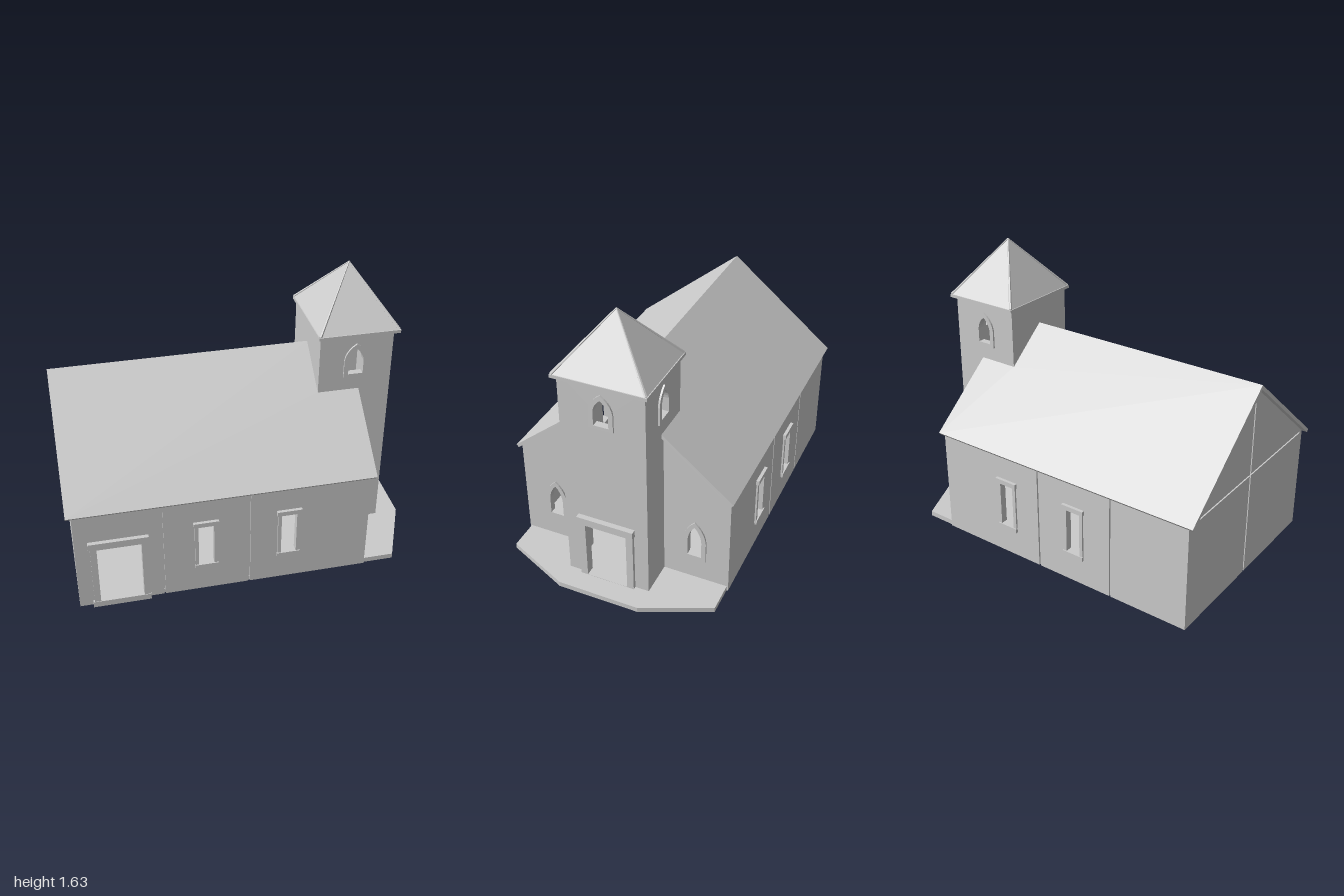
import * as THREE from 'three';

const T = 0.03; // wall thickness
const HALF = 0.62, EAVE = 0.635, RIDGE = 1.165;
const material = new THREE.MeshStandardMaterial({ color: 0xcccccc, flatShading: true });

const polygon = (pts) => new THREE.Shape(pts.map(([x, y]) => new THREE.Vector2(x, y)));
const rect = (x0, x1, y0, y1) => polygon([[x0, y0], [x1, y0], [x1, y1], [x0, y1]]);

// Pointed arch outline: straight jambs, then two curves meeting at the tip
function arch(cx, half, y0, y1) {
  const spring = y0 + (y1 - y0) * 0.52, bend = spring + (y1 - spring) * 0.6;
  const s = new THREE.Shape();
  s.moveTo(cx - half, y0);
  s.lineTo(cx + half, y0);
  s.lineTo(cx + half, spring);
  s.quadraticCurveTo(cx + half * 0.9, bend, cx, y1);
  s.quadraticCurveTo(cx - half * 0.9, bend, cx - half, spring);
  s.closePath();
  return s;
}

function add(parent, name, geometry) {
  const mesh = new THREE.Mesh(geometry, material);
  mesh.name = name;
  parent.add(mesh);
  return mesh;
}

function box(parent, name, x0, x1, y0, y1, z0, z1) {
  const mesh = add(parent, name, new THREE.BoxGeometry(x1 - x0, y1 - y0, z1 - z0));
  mesh.position.set((x0 + x1) / 2, (y0 + y1) / 2, (z0 + z1) / 2);
  return mesh;
}

// Extruded panel with holes; wall planes face z, or x when alongX is set.
// For alongX the shape's horizontal axis runs toward -z.
function panel(parent, name, shape, holes, from, depth, alongX = false) {
  shape.holes.push(...holes);
  const g = new THREE.ExtrudeGeometry(shape, { depth, bevelEnabled: false, curveSegments: 5 });
  g.translate(0, 0, from);
  if (alongX) g.rotateY(Math.PI / 2);
  return add(parent, name, g);
}

// Start coordinate of a layer lying on the outside of a wall
const outside = (face, side, depth) => (side > 0 ? face : -face - depth);

function createNave(root) {
  const nave = new THREE.Group();
  nave.name = 'nave';
  root.add(nave);
  const windows = [-0.263, 0.2];
  const bays = [[-0.97, -0.505], [-0.495, -0.025], [-0.015, 0.66]];

  for (const side of [1, -1]) {
    const inner = side > 0 ? HALF - T : -HALF;
    // Side wall bays with their openings
    bays.forEach(([x0, x1], i) => {
      const holes = [];
      if (i > 0) {
        const c = windows[i - 1];
        holes.push(rect(c - 0.043, c + 0.043, 0.195, 0.46));
      } else if (side > 0) holes.push(rect(-0.855, -0.615, 0.04, 0.41));
      panel(nave, 'sideWall', rect(x0, x1, 0.01, EAVE), holes, inner, T);
    });
    // Recessed strips behind the wall joints
    for (const x of [-0.5, -0.02]) {
      const z = side * (HALF - 0.02);
      box(nave, 'wallJoint', x - 0.01, x + 0.01, 0.01, EAVE, z - 0.01, z + 0.01);
    }
    // Rectangular window surrounds
    for (const c of windows) {
      const d = 0.01, dl = 0.018;
      panel(nave, 'windowFrame', rect(c - 0.063, c + 0.063, 0.175, 0.465),
        [rect(c - 0.043, c + 0.043, 0.195, 0.46)], outside(HALF, side, d), d);
      const z = outside(HALF, side, dl);
      box(nave, 'windowLintel', c - 0.07, c + 0.07, 0.46, 0.487, z, z + dl);
      box(nave, 'windowSill', c - 0.065, c + 0.065, 0.17, 0.195, z + 0.002, z + dl - 0.002);
    }
    // Front wall beside the tower, with a pointed window
    const m = (pts) => pts.map(([z, y]) => [z * side, y]);
    panel(nave, 'frontWall',
      polygon(m([[0.23, 0.04], [0.59, 0.04], [0.59, EAVE], [HALF, EAVE], [0.23, 0.952]])),
      [arch(side * 0.422, 0.04, 0.2, 0.4)], 0.66 - T, T, true);
    panel(nave, 'pointedWindowFrame', arch(side * 0.422, 0.066, 0.17, 0.432),
      [arch(side * 0.422, 0.04, 0.2, 0.4)], 0.66, 0.01, true);
    // Rear wall: lower panel and gable panel
    panel(nave, 'rearWall', polygon(m([[0.006, 0.01], [0.59, 0.01], [0.59, 0.625], [0.006, 0.625]])),
      [], -0.97, T, true);
    panel(nave, 'rearGable', polygon(m([[0.006, EAVE], [HALF, EAVE], [0.006, 1.134]])),
      [], -0.97, T, true);
    // Roof slope, notched around the tower
    const slope = Math.hypot(0.64, 0.525), cut = 0.24 * slope / 0.64;
    const shape = polygon([[-1, 0], [0.45, 0], [0.45, cut], [0.685, cut], [0.685, slope], [-1, slope]]
      .map(([x, s]) => [x, -side * s]));
    const roof = panel(nave, 'naveRoof', shape, [], -0.02, 0.02);
    roof.rotation.x = Math.atan2(-0.64, side * 0.525);
    roof.position.y = RIDGE;
  }
  // Recessed joints of the rear wall
  box(nave, 'rearJoint', -0.96, -0.945, 0.01, 1.13, -0.012, 0.012);
  box(nave, 'rearBeam', -0.96, -0.945, 0.61, 0.65, -0.59, 0.59);

  // Side doorway
  const side = new THREE.Group();
  side.name = 'sideDoorway';
  nave.add(side);
  for (const x of [-0.89, -0.615]) box(side, 'doorJamb', x, x + 0.035, 0.03, 0.41, 0.585, 0.635);
  box(side, 'doorLintel', -0.9, -0.575, 0.41, 0.452, 0.58, 0.643);
  box(side, 'doorThreshold', -0.897, -0.578, 0.004, 0.04, 0.56, 0.638);
}

function createTower(root) {
  const tower = new THREE.Group();
  tower.name = 'tower';
  root.add(tower);
  const x0 = 0.45, x1 = 0.865, z1 = 0.24, top = 1.31, cx = 0.657;
  const opening = (c) => arch(c, 0.042, 1.07, 1.225);
  const surround = (c) => arch(c, 0.067, 1.05, 1.255);

  // Side walls step over the nave roof
  for (const side of [1, -1]) {
    panel(tower, 'towerSideWall',
      polygon([[0.65, 0.04], [x1, 0.04], [x1, top], [x0, top], [x0, 0.94], [0.65, 0.94]]),
      [opening(cx)], side > 0 ? z1 - T : -z1, T);
    panel(tower, 'belfryWindowFrame', surround(cx), [opening(cx)], outside(z1, side, 0.01), 0.01);
  }
  panel(tower, 'towerFrontWall', rect(-0.21, 0.21, 0.04, top),
    [opening(0), rect(-0.12, 0.12, 0.04, 0.405)], x1 - T, T, true);
  panel(tower, 'belfryWindowFrame', surround(0), [opening(0)], x1, 0.01, true);
  box(tower, 'towerRearWall', x0, x0 + T, 0.94, top, -0.21, 0.21);

  // Main doorway
  for (const z of [-0.14, 0.14]) box(tower, 'doorJamb', 0.83, 0.885, 0.04, 0.405, z - 0.02, z + 0.02);
  box(tower, 'doorLintel', 0.825, 0.895, 0.405, 0.45, -0.165, 0.165);
  box(tower, 'doorThreshold', 0.83, 0.885, 0, 0.042, -0.16, 0.16);

  // Pyramid roof with eave board and hip ridges
  const rx = 0.665, hx = 0.23, hz = 0.263, base = 1.322, tip = 1.63;
  box(tower, 'towerEave', rx - hx, rx + hx, 1.304, base, -hz, hz);
  const cone = new THREE.ConeGeometry(Math.SQRT2, tip - base, 4, 1);
  cone.rotateY(Math.PI / 4);
  cone.scale(hx - 0.005, 1, hz - 0.005);
  add(tower, 'towerRoof', cone).position.set(rx, (base + tip) / 2, 0);
  const apex = new THREE.Vector3(rx, tip, 0);
  for (const sx of [-1, 1]) for (const sz of [-1, 1]) {
    const foot = new THREE.Vector3(rx + sx * (hx - 0.008), base, sz * (hz - 0.008));
    const dir = apex.clone().sub(foot);
    const hip = add(tower, 'hipRidge', new THREE.CylinderGeometry(0.004, 0.009, dir.length(), 6));
    hip.position.copy(foot).addScaledVector(dir, 0.5);
    hip.quaternion.setFromUnitVectors(new THREE.Vector3(0, 1, 0), dir.normalize());
  }
}

export function createModel() {
  const root = new THREE.Group();
  root.name = 'church';
  // Floor slab with a chamfered porch at the tower end
  const floor = panel(root, 'floorSlab', polygon([[-0.965, -0.612], [0.835, -0.612], [1, -0.235],
    [1, 0.235], [0.835, 0.612], [-0.965, 0.612]]), [], 0, 0.03);
  floor.rotation.x = -Math.PI / 2;
  floor.position.y = 0.01;
  createNave(root);
  createTower(root);
  return root;
}
